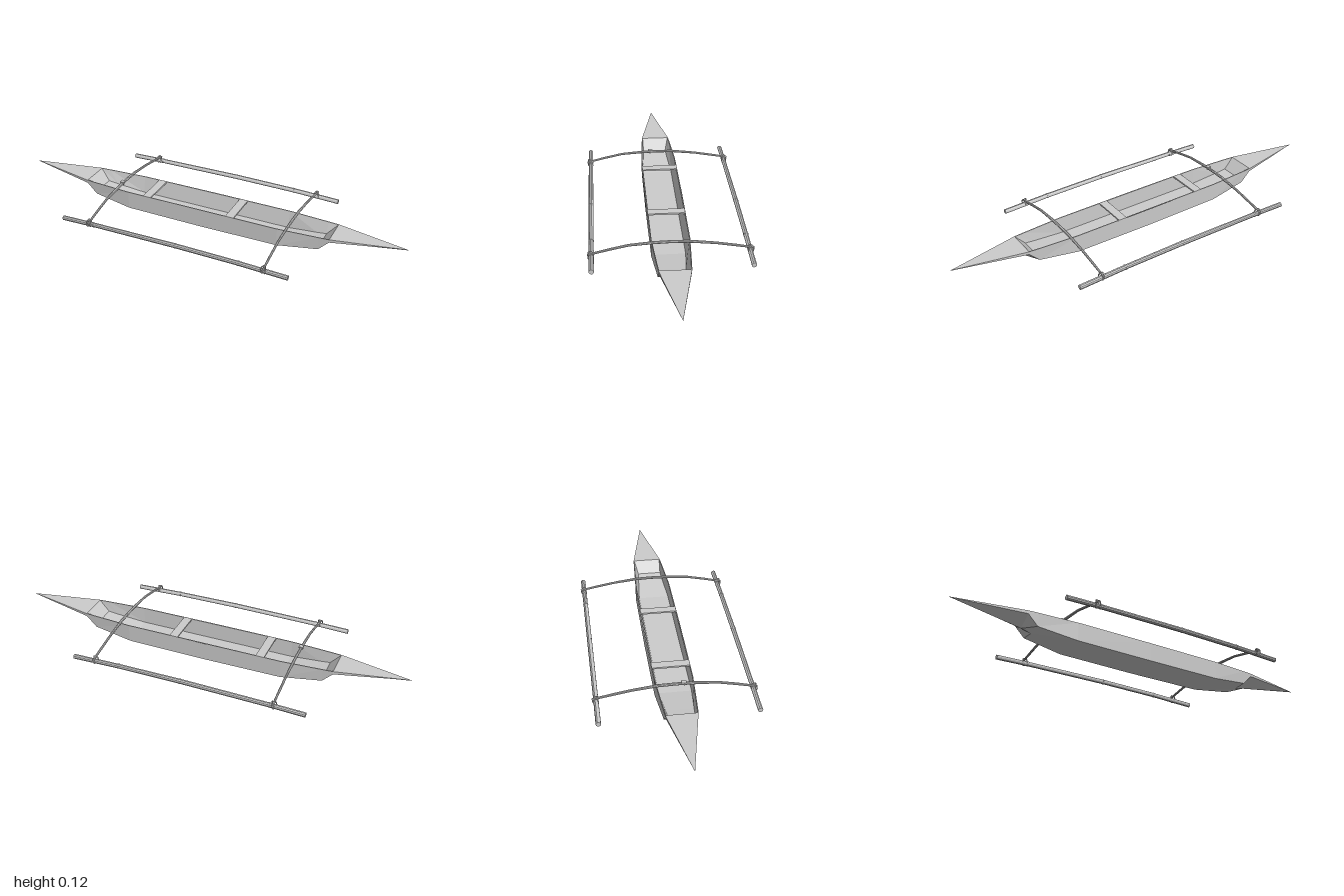
import * as THREE from 'three';

const mat = new THREE.MeshStandardMaterial({ color: 0xcccccc, flatShading: true, side: THREE.DoubleSide });

function add(parent, name, geometry) {
  const mesh = new THREE.Mesh(geometry, mat);
  mesh.name = name;
  parent.add(mesh);
  return mesh;
}

// Skin between successive rows of points, given as [x, y, z]
function loft(rows) {
  const out = [];
  for (let i = 0; i < rows.length - 1; i++) {
    for (let j = 0; j < rows[i].length - 1; j++) {
      const a = rows[i][j], b = rows[i + 1][j], c = rows[i + 1][j + 1], d = rows[i][j + 1];
      out.push(...a, ...b, ...c, ...a, ...c, ...d);
    }
  }
  const g = new THREE.BufferGeometry();
  g.setAttribute('position', new THREE.Float32BufferAttribute(out, 3));
  g.computeVertexNormals();
  return g;
}

// Pole made of straight tapering joints through the given points
function pole(parent, name, points, radii, sides) {
  const group = new THREE.Group();
  group.name = name;
  const up = new THREE.Vector3(0, 1, 0);
  for (let i = 0; i < points.length - 1; i++) {
    const a = new THREE.Vector3(...points[i]), b = new THREE.Vector3(...points[i + 1]);
    const dir = b.clone().sub(a);
    const joint = add(group, 'joint', new THREE.CylinderGeometry(radii[i + 1], radii[i], dir.length(), sides));
    joint.position.copy(a).add(b).multiplyScalar(0.5);
    joint.quaternion.setFromUnitVectors(up, dir.normalize());
  }
  parent.add(group);
}

export function createModel() {
  const model = new THREE.Group();
  model.name = 'outriggerCanoe';
  const top = 0.1;

  // Hull stations: x, rim half width, chine half width, chine height, keel height
  const half = [
    [0.4, 0.09, 0.088, 0.008, 0.003],
    [0.6, 0.077, 0.072, 0.033, 0.027],
    [0.65, 0.073, 0.072, 0.084, 0.04],
    [1, 0, 0, 0.1, 0.098],
  ];
  const mid = [0, 0.092, 0.09, 0.006, 0];
  const stations = [...half.map(([x, ...r]) => [-x, ...r]).reverse(), mid, ...half];
  add(model, 'hull', loft(stations.map(([x, w, cw, cy, k]) =>
    [[x, top, -w], [x, cy, -cw], [x, k, 0], [x, cy, cw], [x, top, w]])));

  // Inside of the hull with its thin rim: top x, floor x, half width, floor height
  const inner = [
    [0.65, 0.6, 0.073, 0.045],
    [0.6, 0.55, 0.077, 0.037],
    [0.4, 0.4, 0.09, 0.016],
  ];
  const innerRows = [...inner.map(([x, fx, ...r]) => [-x, -fx, ...r]), ...inner.slice().reverse()]
    .map(([x, fx, w, fy]) => [
      [x, top, -w], [x, top, -w + 0.004], [fx, fy, -w + 0.02],
      [fx, fy, w - 0.006], [x, top, w - 0.004], [x, top, w]]);
  add(model, 'hullInterior', loft(innerRows));

  for (const s of [-1, 1]) {
    const end = innerRows[s < 0 ? 0 : innerRows.length - 1];
    add(model, 'bulkhead', loft([[end[1], end[2]], [end[4], end[3]]]));
    add(model, 'endDeck', loft([[end[0], end[5]], [[s, top, 0], [s, top, 0]]]));
  }

  // Thwarts
  for (const x of [-0.295, 0.155]) {
    add(model, 'thwart', new THREE.BoxGeometry(0.042, 0.008, 0.176)).position.set(x, 0.096, 0);
  }

  // Floats: bamboo poles with a raised ring at each node
  for (const s of [-1, 1]) {
    const z = s * 0.36;
    pole(model, 'float',
      [[-0.61, 0.046, z], [-0.44, 0.051, z], [0, 0.056, z], [0.32, 0.053, z], [0.56, 0.045, z]],
      [0.012, 0.0115, 0.012, 0.0115, 0.012], 10);
    for (const [x, y] of [[-0.44, 0.051], [0, 0.056], [0.32, 0.053]]) {
      const node = add(model, 'floatNode', new THREE.CylinderGeometry(0.013, 0.013, 0.006, 10));
      node.rotation.z = Math.PI / 2;
      node.position.set(x, y, z);
    }
  }

  // Curved cross beams and the lashings that hold the floats
  const arc = [[0.378, 0.06], [0.28, 0.084], [0.19, 0.103], [0.08, 0.111], [0, 0.113],
    [-0.08, 0.111], [-0.2, 0.097], [-0.29, 0.081], [-0.378, 0.064]];
  const radii = [0.005, 0.006, 0.006, 0.007, 0.007, 0.007, 0.006, 0.006, 0.005];
  for (const x of [-0.46, 0.445]) {
    pole(model, 'crossBeam', arc.map(([z, y]) => [x, y, z]), radii, 8);
    for (const s of [-1, 1]) {
      for (const t of [-1, 1]) {
        const wrap = add(model, 'lashing', new THREE.TorusGeometry(0.0145, 0.003, 5, 12));
        wrap.scale.y = 1.25;
        wrap.rotation.y = Math.PI / 2 + t * 0.5;
        wrap.position.set(x + t * 0.004, 0.057, s * 0.362);
      }
      const knot = add(model, 'knot', new THREE.IcosahedronGeometry(0.007, 0));
      knot.position.set(x, 0.074, s * 0.362);
    }
  }

  // Small binding on top of one beam
  const binding = add(model, 'beamBinding', new THREE.TorusGeometry(0.008, 0.003, 5, 12));
  binding.position.set(-0.46, 0.112, 0.04);
  const tie = add(model, 'bindingKnot', new THREE.BoxGeometry(0.02, 0.006, 0.022));
  tie.position.set(-0.46, 0.12, 0.038);

  return model;
}
